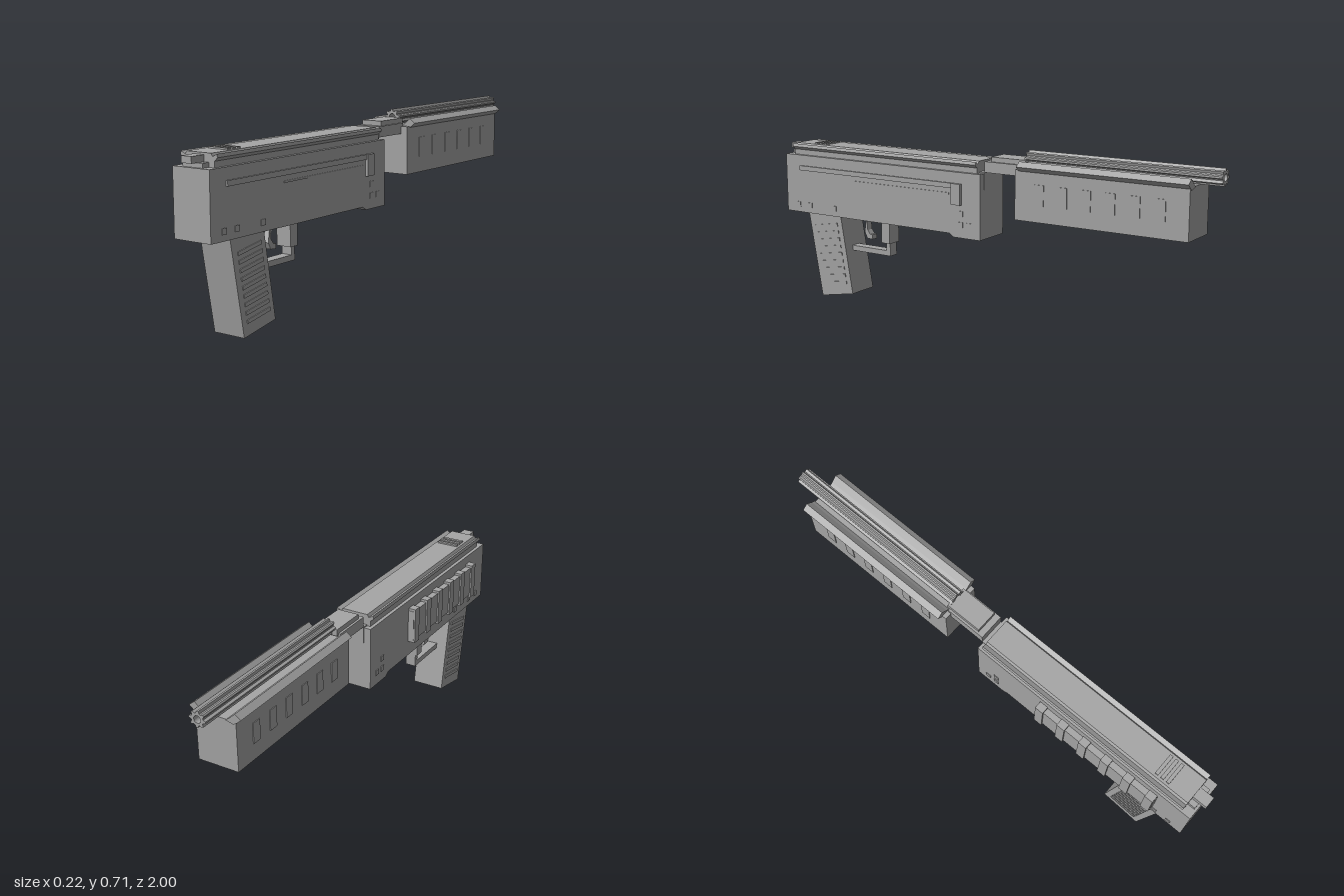
import * as THREE from 'three';

export function createModel() {
  const model = new THREE.Group();
  model.name = 'longGun';
  const metal = new THREE.MeshStandardMaterial({ color: 0xa6a6a6 });
  metal.name = 'plainGrey';

  function add(name, geometry, parent = model) {
    const mesh = new THREE.Mesh(geometry, metal);
    mesh.name = name;
    parent.add(mesh);
    return mesh;
  }
  // Box given by its limits on each axis
  function block(name, x0, x1, y0, y1, z0, z1, parent) {
    const g = new THREE.BoxGeometry(x1 - x0, y1 - y0, z1 - z0);
    g.translate((x0 + x1) / 2, (y0 + y1) / 2, (z0 + z1) / 2);
    return add(name, g, parent);
  }
  const shapeOf = pts => new THREE.Shape(pts.map(p => new THREE.Vector2(p[0], p[1])));
  // Cross-section in (x, y) running along z
  function along(name, shape, z0, z1) {
    const g = new THREE.ExtrudeGeometry(shape, { depth: z1 - z0, bevelEnabled: false });
    return add(name, g.translate(0, 0, z0));
  }
  // Side outline in (z, y) extruded across x
  function across(name, pts, x0, x1) {
    const g = new THREE.ExtrudeGeometry(shapeOf(pts), { depth: x1 - x0, bevelEnabled: false });
    return add(name, g.rotateY(-Math.PI / 2).translate(x1, 0, 0));
  }

  // Receiver with a deeper front end
  across('receiver', [[0.98, 0.366], [0.98, 0.615], [-0.027, 0.615],
    [-0.027, 0.352], [0.1, 0.352], [0.12, 0.366]], -0.083, 0.083);

  // Top cover with undercut side rails
  const half = [[0.069, 0.61], [0.069, 0.637], [0.084, 0.65], [0.08, 0.662], [0.062, 0.652], [0.055, 0.663]];
  const mirrored = half.map(p => [-p[0], p[1]]).reverse();
  along('topCover', shapeOf([...half, ...mirrored]), -0.005, 0.94);
  for (const z of [0.79, 0.815, 0.84]) block('coverSerration', -0.045, 0.045, 0.655, 0.669, z - 0.007, z + 0.007);
  block('rearLatch', -0.023, 0.023, 0.632, 0.656, 0.93, 1);
  block('rearLatchBase', -0.045, 0.045, 0.61, 0.632, 0.93, 0.97);

  // Raised handle track on the left side
  across('handleTrack', [[0.9, 0.55], [0.9, 0.57], [0.06, 0.57], [0.06, 0.485],
    [0.105, 0.485], [0.105, 0.55]], 0.08, 0.09);
  block('handleTab', 0.085, 0.095, 0.485, 0.57, 0.06, 0.105);
  block('trackLine', 0.08, 0.086, 0.523, 0.53, 0.12, 0.6);

  // Pins on both sides
  const pins = [[0.915, 0.4], [0.85, 0.4], [0.715, 0.4], [0.065, 0.405], [0.025, 0.405], [0.065, 0.45]];
  for (const s of [-1, 1]) for (const [z, y] of pins) {
    const pin = block('pin', -0.003, 0.003, -0.011, 0.011, -0.011, 0.011);
    pin.position.set(s * 0.083, y, z);
  }

  // Cartridge holder on the right side
  block('cartridgePanel', -0.108, -0.08, 0.44, 0.57, 0.28, 0.84);
  for (let i = 0; i < 6; i++) {
    const z = 0.3 + i * 0.104;
    block('cartridgeRib', -0.114, -0.08, 0.43, 0.58, z - 0.018, z + 0.018);
  }

  // Slanted grip with ribbed sides
  across('grip', [[0.807, 0.003], [0.872, 0.37], [0.695, 0.37], [0.638, 0.034]], -0.069, 0.069);
  const ribs = new THREE.Group();
  ribs.name = 'gripRibs';
  ribs.position.set(0, 0.02, 0.722);
  ribs.rotation.x = 0.17;
  model.add(ribs);
  for (const s of [-1, 1]) for (let i = 0; i < 9; i++) {
    const rib = block('gripRib', -0.0035, 0.0035, -0.007, 0.007, -0.062, 0.062, ribs);
    rib.position.set(s * 0.069, 0.05 + i * 0.0315, 0);
  }

  // Trigger and guard
  across('trigger', [[0.575, 0.37], [0.598, 0.37], [0.592, 0.31], [0.578, 0.292], [0.566, 0.292],
    [0.566, 0.272], [0.595, 0.274], [0.608, 0.3]].reverse(), -0.015, 0.015);
  block('guardPost', -0.032, 0.032, 0.268, 0.37, 0.462, 0.504);
  across('triggerGuard', [[0.68, 0.213], [0.68, 0.235], [0.486, 0.235], [0.486, 0.28],
    [0.467, 0.28], [0.467, 0.213]], -0.022, 0.022);

  // Neck joining the receiver to the forend
  block('neck', -0.054, 0.054, 0.62, 0.663, -0.2, -0.03);
  block('neckFront', -0.054, 0.054, 0.55, 0.62, -0.03, 0);
  block('neckTop', -0.045, 0.045, 0.655, 0.682, -0.21, -0.055);

  // Forend with flared rails and side plates
  block('forend', -0.083, 0.083, 0.455, 0.65, -0.905, -0.187);
  const wing = [[0.042, 0.648], [0.074, 0.64], [0.09, 0.65], [0.106, 0.664], [0.082, 0.682], [0.058, 0.66]];
  for (const s of [-1, 1]) {
    along('forendRail', shapeOf(wing.map(p => [s * p[0], p[1]])), -0.908, -0.205);
    for (let i = 0; i < 6; i++) {
      const plate = block('forendPlate', -0.003, 0.003, 0.52, 0.6, -0.02, 0.02);
      plate.position.set(s * 0.083, 0, -0.295 - i * 0.1);
    }
  }

  // Fluted barrel with an open bore
  const flutes = [];
  for (let i = 0; i < 32; i++) {
    const a = (i / 32) * Math.PI * 2;
    const r = i % 4 < 2 ? 0.034 : 0.025;
    flutes.push([Math.cos(a) * r, 0.684 + Math.sin(a) * r * 0.95]);
  }
  const barrel = shapeOf(flutes);
  barrel.holes.push(new THREE.Path().absarc(0, 0.684, 0.014, 0, Math.PI * 2, true));
  along('barrel', barrel, -1, -0.2);

  // The side fittings differ, so shift the body to centre the whole
  for (const part of model.children) part.position.x += 0.004;
  return model;
}
